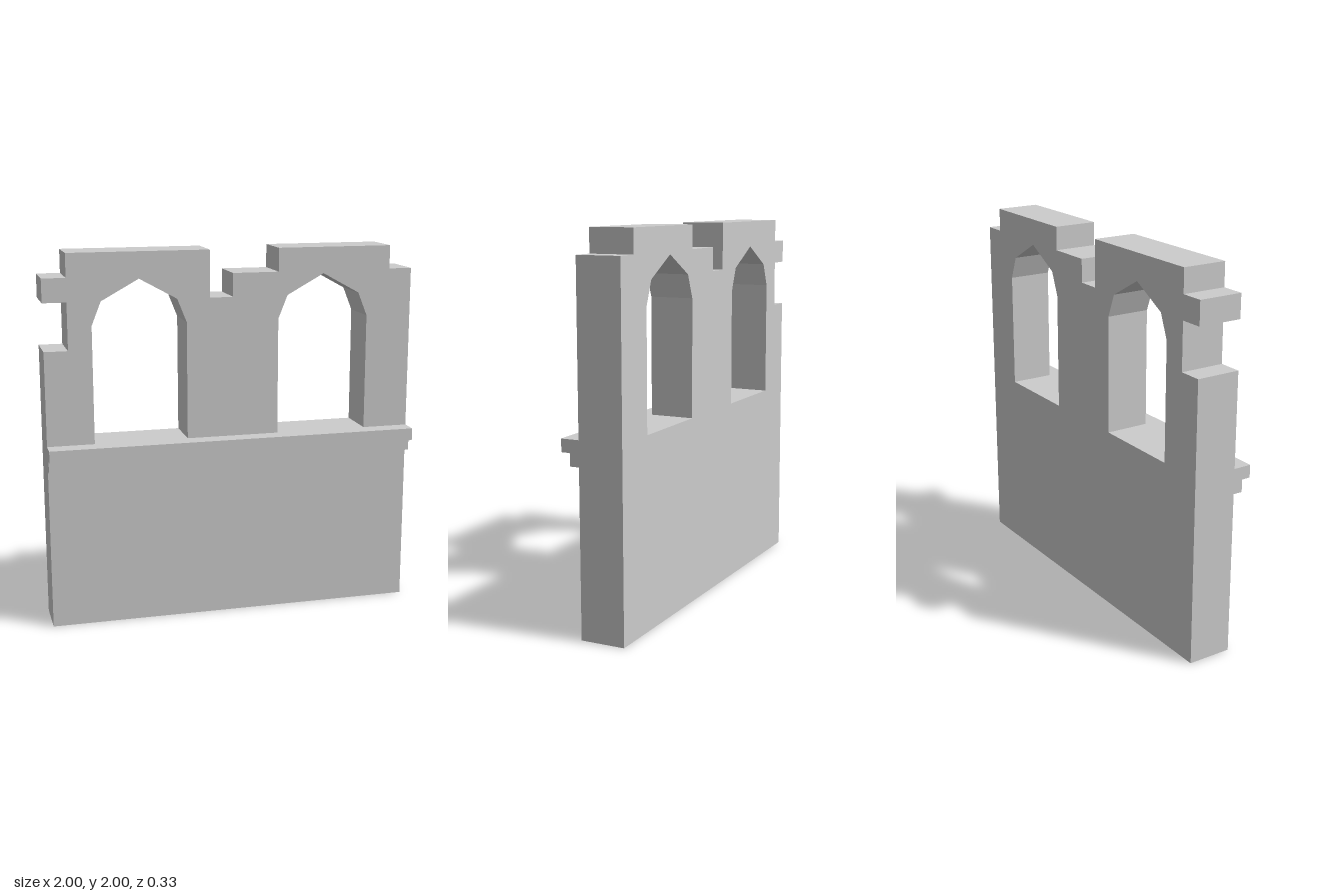
import * as THREE from 'three';

const BACK = -0.167, FACE = 0.07;
const points = (list) => list.map(([x, y]) => new THREE.Vector2(x, y));

// Pointed window opening centred on cx
function windowHole(cx) {
  return new THREE.Path(points([
    [-0.25, 1], [-0.25, 1.625], [-0.2, 1.75], [0, 1.86],
    [0.2, 1.75], [0.25, 1.625], [0.25, 1],
  ].map(([x, y]) => [cx + x, y])));
}

function extrude(name, shape, depth, material) {
  const geometry = new THREE.ExtrudeGeometry(shape, { depth, bevelEnabled: false });
  const mesh = new THREE.Mesh(geometry, material);
  mesh.name = name;
  return mesh;
}

export function createModel() {
  const group = new THREE.Group();
  group.name = 'ruinedWall';
  const stone = new THREE.MeshStandardMaterial({ color: 0xcccccc, flatShading: true });

  // Wall slab with a broken, stepped outline and two windows
  const outline = new THREE.Shape(points([
    [-1, 0], [1, 0], [1, 1.875], [0.875, 1.875], [0.875, 2], [0.25, 2],
    [0.25, 1.875], [0, 1.875], [0, 1.75], [-0.125, 1.75], [-0.125, 2],
    [-0.875, 2], [-0.875, 1.875], [-1, 1.875], [-1, 1.75],
    [-0.875, 1.75], [-0.875, 1.5], [-1, 1.5],
  ]));
  outline.holes.push(windowHole(-0.5), windowHole(0.5));
  const wall = extrude('wall', outline, FACE - BACK, stone);
  wall.position.z = BACK;
  group.add(wall);

  // Two-step sill moulding: profile in (z, y), run along the wall
  const profile = new THREE.Shape(points([
    [FACE, 0.867], [0.12, 0.867], [0.12, 0.933],
    [0.167, 0.933], [0.167, 1], [FACE, 1],
  ]));
  const sill = extrude('sillMoulding', profile, 2, stone);
  sill.rotation.y = -Math.PI / 2;
  sill.position.x = 1;
  group.add(sill);

  return group;
}
